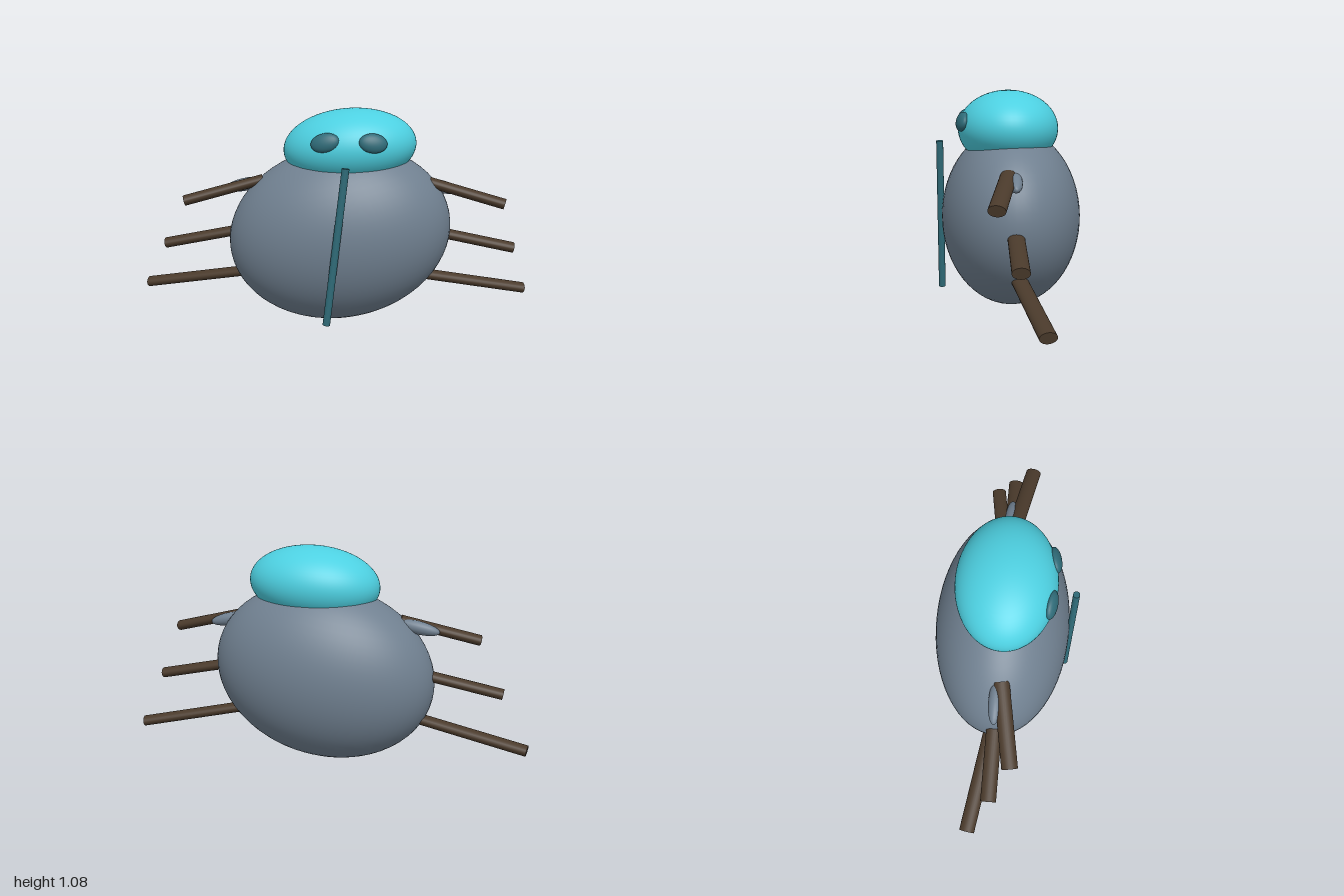
import * as THREE from 'three';

const mat = (color) => new THREE.MeshStandardMaterial({ color });
const V = (p) => new THREE.Vector3(...p);

export function createModel() {
  const model = new THREE.Group();
  const grey = mat(0x708090), teal = mat(0x4dd0e1);
  const darkTeal = mat(0x2f6b78), brown = mat(0x4a3a2b);

  // ellipsoid from centre, half-sizes and rotation
  const ellipsoid = (name, material, center, radii, rotation = [0, 0, 0], detail = 48) => {
    const mesh = new THREE.Mesh(new THREE.SphereGeometry(1, detail, detail / 2), material);
    mesh.name = name;
    mesh.position.set(...center);
    mesh.scale.set(...radii);
    mesh.rotation.set(...rotation);
    model.add(mesh);
  };

  // straight rod between two points with an oval section (height, depth)
  const rod = (name, material, from, to, height, depth) => {
    const a = V(from), b = V(to), along = b.clone().sub(a);
    const geometry = new THREE.CylinderGeometry(1, 1, along.length(), 24);
    geometry.scale(height, 1, depth);
    const dir = along.normalize();
    const side = dir.clone().cross(new THREE.Vector3(0, 0, 1)).normalize();
    const front = side.clone().cross(dir);
    const mesh = new THREE.Mesh(geometry, material);
    mesh.name = name;
    mesh.quaternion.setFromRotationMatrix(new THREE.Matrix4().makeBasis(side, dir, front));
    mesh.position.copy(a.add(b).multiplyScalar(0.5));
    model.add(mesh);
  };

  // leaning body and head
  ellipsoid('body', grey, [0.033, 0.455, -0.01], [0.567, 0.444, 0.345], [0, 0, 0.207], 64);
  ellipsoid('head', teal, [0.085, 0.9, 0.005], [0.331, 0.188, 0.245], [0, 0, 0.08], 64);

  // eyes following the curve of the face
  ellipsoid('rightEye', darkTeal, [-0.025, 0.943, 0.222], [0.07, 0.046, 0.027], [-0.3, -0.2, 0.16], 32);
  ellipsoid('leftEye', darkTeal, [0.203, 0.943, 0.228], [0.068, 0.047, 0.027], [-0.3, 0.2, -0.05], 32);

  // stripe rod down the front
  rod('wingSeam', darkTeal, [-0.012, 0.08, 0.34], [0.078, 0.84, 0.34], 0.018, 0.017);

  // legs: inner end, outer end
  const legs = {
    leftFrontLeg: [[0.46, 0.73, 0.015], [0.85, 0.63, 0.087]],
    rightFrontLeg: [[-0.35, 0.73, 0.015], [-0.74, 0.63, 0.087]],
    leftMiddleLeg: [[0.5, 0.47, -0.008], [0.915, 0.387, -0.008]],
    rightMiddleLeg: [[-0.44, 0.47, -0.008], [-0.865, 0.387, -0.008]],
    leftBackLeg: [[0.4, 0.248, -0.017], [0.992, 0.143, -0.112]],
    rightBackLeg: [[-0.4, 0.248, -0.017], [-0.992, 0.143, -0.112]],
  };
  for (const [name, [inner, outer]] of Object.entries(legs)) {
    rod(name, brown, inner, outer, 0.026, 0.039);
  }

  // small shoulder bumps behind the front legs
  ellipsoid('leftShoulder', grey, [0.53, 0.7, -0.006], [0.11, 0.033, 0.033], [0, 0, -0.2], 24);
  ellipsoid('rightShoulder', grey, [-0.44, 0.7, -0.006], [0.11, 0.033, 0.033], [0, 0, 0.2], 24);

  return model;
}
